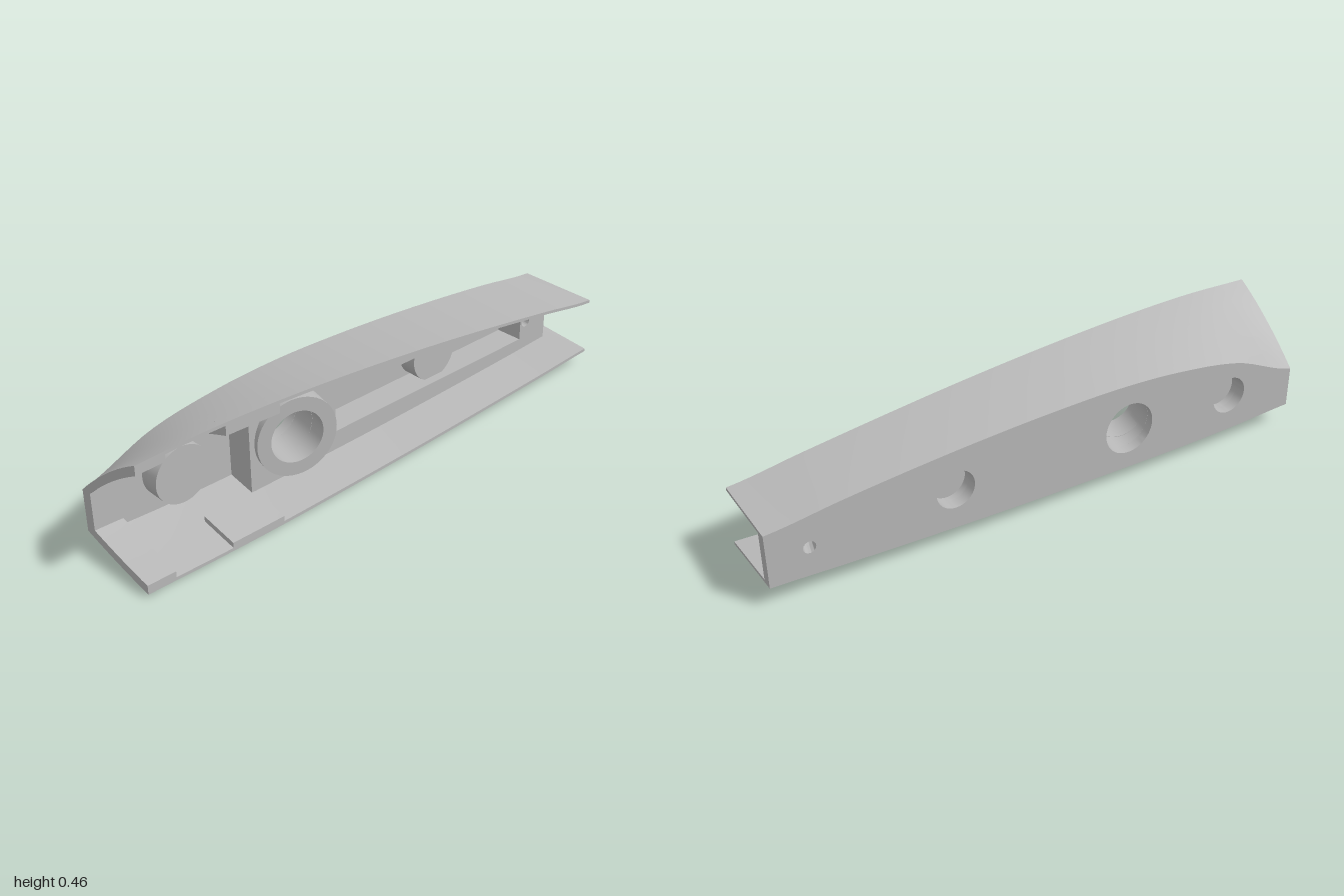
import * as THREE from 'three';
import { toCreasedNormals } from 'three/addons/utils/BufferGeometryUtils.js';

const BACK = -0.15, FRONT = 0.15;
const TILT = 0.23; // lean of the through holes and collar

// Edge heights sampled evenly from x = -1 to x = 1
const profile = (ys) => {
  const curve = new THREE.SplineCurve(ys.map((y, i) => new THREE.Vector2(i, y)));
  return (x) => curve.getPoint(THREE.MathUtils.clamp((x + 1) / 2, 0, 1)).y;
};
const topFront = profile([0.455, 0.459, 0.449, 0.43, 0.405, 0.375, 0.34, 0.302, 0.262]);
const topBack = profile([0.225, 0.32, 0.36, 0.373, 0.367, 0.352, 0.33, 0.302, 0.268]);
const botFront = profile([0.01, 0.003, 0, 0.003, 0.008, 0.015, 0.024, 0.034, 0.046]);
const botBack = profile([0.075, 0.06, 0.052, 0.05, 0.05, 0.053, 0.059, 0.067, 0.077]);

// Outer skins: blend back edge to front edge, bowed towards the wide end
const skin = (back, front) => (x, z) => {
  const s = (z - BACK) / (FRONT - BACK);
  const bow = 0.28 * THREE.MathUtils.clamp((-x - 0.4) / 0.6, 0, 1);
  return THREE.MathUtils.lerp(back(x), front(x), s + bow * s * (1 - s));
};
const topSkin = skin(topBack, topFront);
const botSkin = skin(botBack, botFront);

export function createModel() {
  const model = new THREE.Group();
  const grey = new THREE.MeshStandardMaterial({ color: 0xb8b8b8 });

  const add = (name, geometry) => {
    const mesh = new THREE.Mesh(geometry, grey);
    mesh.name = name;
    model.add(mesh);
    return mesh;
  };

  // Curved slab between two height rules
  const slab = (name, x0, x1, z0, z1, low, high) => {
    const nx = Math.max(4, Math.round((x1 - x0) * 24));
    const g = new THREE.BoxGeometry(1, 1, 1, nx, 1, 10);
    const p = g.attributes.position;
    for (let i = 0; i < p.count; i++) {
      const x = THREE.MathUtils.lerp(x0, x1, p.getX(i) + 0.5);
      const z = THREE.MathUtils.lerp(z0, z1, p.getZ(i) + 0.5);
      p.setXYZ(i, x, (p.getY(i) > 0 ? high : low)(x, z), z);
    }
    g.computeVertexNormals();
    return add(name, g);
  };
  const topSlab = (name, x0, x1, z0, z1, t) =>
    slab(name, x0, x1, z0, z1, (x, z) => topSkin(x, z) - t, topSkin);
  const botSlab = (name, x0, x1, z0, z1, t) =>
    slab(name, x0, x1, z0, z1, botSkin, (x, z) => botSkin(x, z) + t);

  // Flanges with their thickened end and pads
  topSlab('topFlange', -0.9, 1, BACK, FRONT, 0.011);
  topSlab('topEndThickening', -1, -0.9, BACK, FRONT, 0.034);
  topSlab('topPad', -0.69, -0.49, 0.01, FRONT, 0.045);
  botSlab('bottomFlange', -0.9, 1, BACK, FRONT, 0.011);
  botSlab('bottomEndThickening', -1, -0.9, BACK, FRONT, 0.032);
  botSlab('bottomPad', -0.69, -0.49, 0.01, FRONT, 0.03);

  const circlePath = (x, y, r, PathType = THREE.Path) => {
    const path = new PathType();
    path.absarc(x, y, r, 0, Math.PI * 2, false);
    return path;
  };
  const extrude = (shape, z0, z1) => {
    const g = new THREE.ExtrudeGeometry(shape, { depth: z1 - z0, bevelEnabled: false, curveSegments: 24 });
    g.translate(0, 0, z0);
    return g;
  };

  // Web layer: outline follows the flanges, tilted holes are sheared in depth
  const web = (name, x0, x1, z0, z1, refZ, straight, tilted) => {
    const n = 40, inset = 0.006, upper = [], lower = [];
    for (let i = 0; i <= n; i++) {
      const x = THREE.MathUtils.lerp(x0, x1, i / n);
      lower.push(new THREE.Vector2(x, botSkin(x, refZ) + inset));
      upper.unshift(new THREE.Vector2(x, topSkin(x, refZ) - inset));
    }
    const shape = new THREE.Shape([...lower, ...upper]);
    shape.holes.push(...straight, ...tilted.map(([x, y, r]) => circlePath(x, y, r)));
    const g = extrude(shape, z0, z1);
    const p = g.attributes.position;
    for (let i = 0; i < p.count; i++) {
      const x = p.getX(i), y = p.getY(i), z = p.getZ(i);
      if (Math.abs(y - topSkin(x, refZ) + inset) < 1e-4) p.setY(i, topSkin(x, z) - inset);
      else if (Math.abs(y - botSkin(x, refZ) - inset) < 1e-4) p.setY(i, botSkin(x, z) + inset);
      else if (tilted.some(([cx, cy, r]) => Math.hypot(x - cx, y - cy) < r + 1e-3)) {
        p.setX(i, x - Math.tan(TILT) * (z - refZ));
      }
    }
    return add(name, toCreasedNormals(g, 0.5));
  };

  // Back plate with two blind and two through holes
  const cups = [[-0.72, 0.2], [0.37, 0.2]];
  web('backPlate', -1, 1, BACK, -0.11, BACK,
    cups.map(([x, y]) => circlePath(x, y, 0.068)),
    [[-0.293, 0.205, 0.094], [0.864, 0.175, 0.021]]);

  // Thick body with a long pocket
  const pocket = new THREE.Path([
    new THREE.Vector2(-0.13, 0.11), new THREE.Vector2(0.8, 0.11),
    new THREE.Vector2(0.8, 0.245), new THREE.Vector2(-0.13, 0.245),
  ]);
  web('thickBody', -0.49, 0.94, -0.11, -0.007, -0.007, [pocket],
    [[-0.326, 0.205, 0.094], [0.83, 0.175, 0.021]]);

  // Round cups closed at the front, open at the back
  for (const [x, y] of cups) {
    const wall = circlePath(x, y, 0.1, THREE.Shape);
    wall.holes.push(circlePath(x, y, 0.068));
    add('cupWall', toCreasedNormals(extrude(wall, -0.11, -0.085), 0.5));
    add('cupCap', toCreasedNormals(extrude(circlePath(x, y, 0.1, THREE.Shape), -0.085, -0.04), 0.5));
  }

  // Tilted collar around the large through hole
  const ring = circlePath(0, 0, 0.141, THREE.Shape);
  ring.holes.push(circlePath(0, 0, 0.0925));
  const collar = add('collar', toCreasedNormals(extrude(ring, -0.1, 0), 0.5));
  collar.position.set(-0.338, 0.205, 0.045);
  collar.rotation.y = -TILT;

  return model;
}
